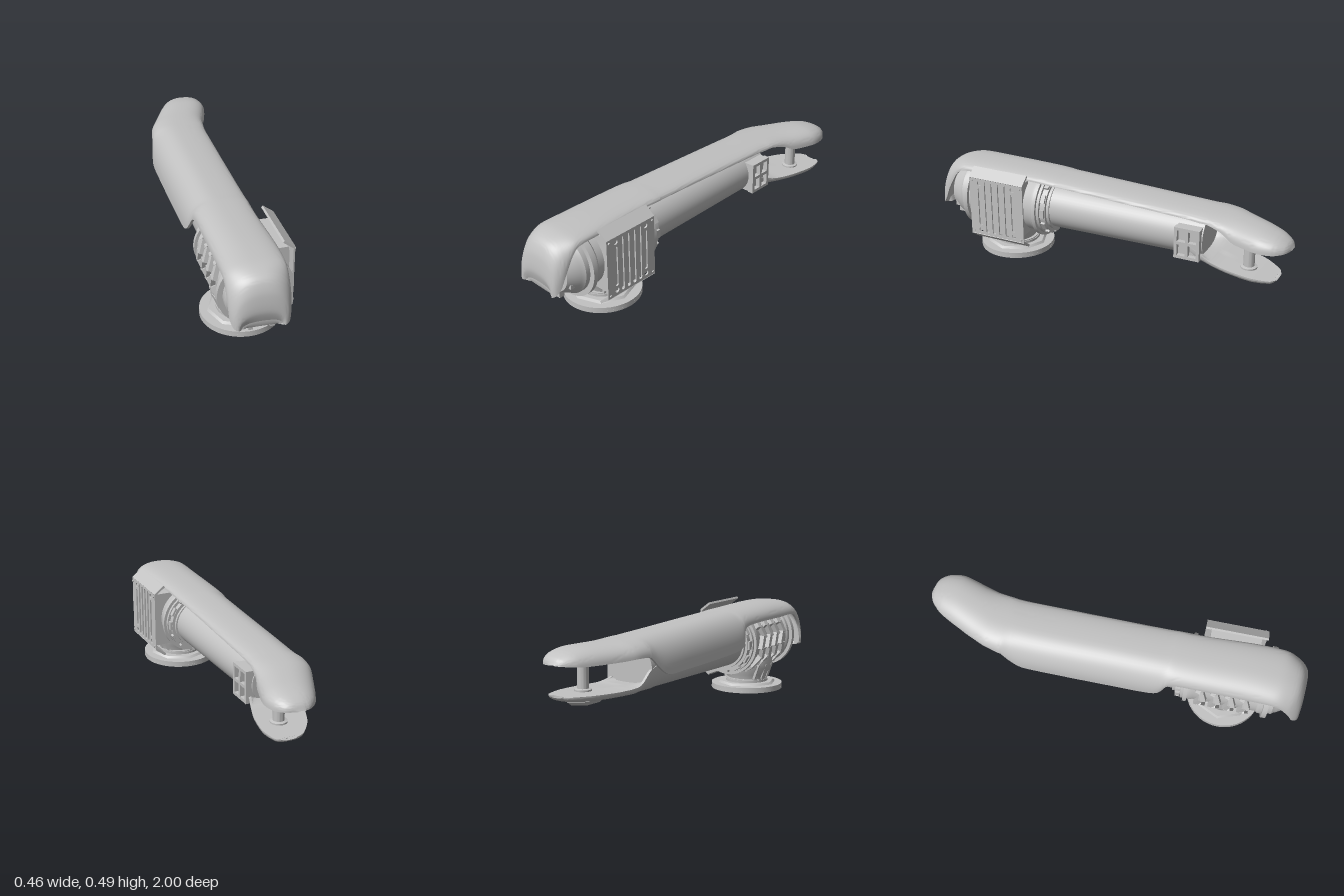
import * as THREE from 'three';
import { toCreasedNormals } from 'three/addons/utils/BufferGeometryUtils.js';

const grey = new THREE.MeshStandardMaterial({ color: 0xc2c2c2, side: THREE.DoubleSide });
grey.name = 'machine grey';

function add(parent, name, geo, x = 0, y = 0, z = 0) {
  const m = new THREE.Mesh(geo, grey);
  m.name = name;
  m.position.set(x, y, z);
  parent.add(m);
  return m;
}
const box = (w, h, d) => new THREE.BoxGeometry(w, h, d);
const lathe = (pts, seg = 48) =>
  toCreasedNormals(new THREE.LatheGeometry(pts.map(p => new THREE.Vector2(p[0], p[1])), seg), 0.6);

// Arched shell lofted through stations [z, xLow, xHigh, crownY, edgeY at xLow, edgeY at xHigh]
function shell(stations, crownThickness, steps) {
  const V = (a, b, c) => new THREE.Vector3(a, b, c);
  const A = new THREE.CatmullRomCurve3(stations.map(s => V(s[0], s[1], s[2])), false, 'catmullrom', 0.4);
  const B = new THREE.CatmullRomCurve3(stations.map(s => V(s[3], s[4], s[5])), false, 'catmullrom', 0.4);
  const zs = stations.map(s => s[0]);
  const lo = Math.min(...zs), hi = Math.max(...zs);
  const N = 28, ring = 2 * (N + 1), rim = 0.014, pos = [], idx = [];
  for (let i = 0; i <= steps; i++) {
    const a = A.getPoint(i / steps), b = B.getPoint(i / steps);
    const cx = (a.y + a.z) / 2, hw = Math.max((a.z - a.y) / 2, 0.002);
    for (let k = 0; k < ring; k++) {
      const inner = k > N, j = inner ? ring - 1 - k : k;
      const u = Math.PI * (1 - j / N), c = Math.cos(u), s = Math.max(Math.sin(u), 0);
      const edge = c < 0 ? b.y : b.z, power = c < 0 ? 0.88 : 0.78;
      let h = b.x - edge;
      if (inner) h = Math.sign(h) * Math.max(Math.abs(h) - crownThickness, 0);
      const w = inner ? Math.max(hw - rim, 0.001) : hw;
      pos.push(cx + w * Math.sign(c) * Math.abs(c) ** power, edge + h * s ** power,
        inner ? THREE.MathUtils.clamp(a.x, lo + rim, hi - rim) : THREE.MathUtils.clamp(a.x, lo, hi));
    }
  }
  for (let i = 0; i < steps; i++) for (let k = 0; k < ring; k++) {
    const p = i * ring + k, q = i * ring + (k + 1) % ring;
    idx.push(p, q, p + ring, q, q + ring, p + ring);
  }
  const g = new THREE.BufferGeometry();
  g.setAttribute('position', new THREE.Float32BufferAttribute(pos, 3));
  g.setIndex(idx);
  return toCreasedNormals(g, 0.7);
}

function buildBase(root) {
  const base = new THREE.Group();
  base.name = 'base';
  base.position.z = 0.6;
  root.add(base);
  // Foot ring with a rounded square recess underneath
  const ring = new THREE.Shape().absarc(0, 0, 0.2, 0, Math.PI * 2);
  const hole = new THREE.Path(), r = 0.147;
  hole.moveTo(r, 0);
  for (let i = 1; i <= 48; i++) {
    const a = i / 48 * Math.PI * 2, c = Math.cos(a), s = Math.sin(a);
    hole.lineTo(r * Math.sign(c) * Math.abs(c) ** 0.6, r * Math.sign(s) * Math.abs(s) ** 0.6);
  }
  ring.holes.push(hole);
  const foot = new THREE.ExtrudeGeometry(ring, { depth: 0.012, bevelEnabled: false, curveSegments: 40 });
  add(base, 'footRing', foot.rotateX(-Math.PI / 2));
  add(base, 'footDisc', lathe([[0, 0.012], [0.2, 0.012], [0.2, 0.03], [0, 0.03]]));
  add(base, 'octagonPlate', new THREE.CylinderGeometry(0.155, 0.165, 0.012, 8), 0, 0.036);
  add(base, 'turntable', lathe([[0.12, 0.04], [0.12, 0.055], [0.115, 0.055], [0.115, 0.06], [0, 0.06]]));
  // Neck flaring up into the joint housing
  const neck = lathe([[0.115, 0.058], [0.124, 0.085], [0.145, 0.125], [0.15, 0.16], [0.15, 0.24]], 24);
  add(base, 'neck', neck).scale.z = 0.85;
  for (const sx of [-1, 1]) for (const z of [-0.07, -0.025, 0.025, 0.07]) {
    const rib = add(base, 'neckRib', box(0.014, 0.09, 0.012), sx * (0.135 - Math.abs(z) * 0.4), 0.105, z);
    rib.rotation.z = -sx * 0.35;
  }
}

function buildJoint(arm) {
  const joint = new THREE.Group();
  joint.name = 'joint';
  joint.position.y = 0.285;
  arm.add(joint);
  // Stepped drum with flange rings at both ends
  add(joint, 'drum', lathe([
    [0, 0.33], [0.135, 0.33], [0.135, 0.345], [0.15, 0.345], [0.15, 0.375], [0.165, 0.375], [0.165, 0.39],
    [0.18, 0.39], [0.18, 0.41], [0.165, 0.41], [0.165, 0.43], [0.16, 0.44], [0.16, 0.77], [0.168, 0.78],
    [0.168, 0.8], [0.187, 0.8], [0.187, 0.825], [0.16, 0.825], [0.16, 0.85], [0.152, 0.86],
    [0.148, 0.87], [0.115, 0.93], [0.1, 0.93], [0.09, 0.91], [0, 0.91]]).rotateX(Math.PI / 2));
  // Lugs around the rear collar
  for (let i = 0; i < 12; i++) {
    const a = i / 12 * Math.PI * 2;
    const lug = add(joint, 'collarLug', box(0.014, 0.045, 0.024), Math.cos(a) * 0.153, Math.sin(a) * 0.153, 0.36);
    lug.rotation.z = a;
  }
  for (const x of [-0.058, 0.047]) add(joint, 'frontFoot', box(0.023, 0.043, 0.03), x, -0.112, 0.92);
  add(joint, 'frontTab', box(0.04, 0.022, 0.03), 0.1, -0.058, 0.9);
  // Stepped ribs wrapping the side away from the vent
  for (let n = 0; n < 4; n++) for (let k = 0; k < 6; k++) {
    const a = Math.PI * (0.78 + k * 0.11);
    const rib = add(joint, 'sideRib', box(0.03, 0.075, 0.026),
      Math.cos(a) * 0.168, Math.sin(a) * 0.168, 0.48 + n * 0.075 + (k % 2 ? 0.008 : -0.008));
    rib.rotation.set(k % 2 ? 0.3 : -0.3, 0, a, 'ZXY');
  }
}

function buildVent(arm) {
  const vent = new THREE.Group();
  vent.name = 'vent';
  vent.position.set(-0.002, 0.283, 0.602);
  arm.add(vent);
  add(vent, 'ventBox', box(0.1, 0.3, 0.26), 0.143, 0, 0);
  // Slotted plate with corner holes
  const s = new THREE.Shape();
  s.moveTo(-0.16, -0.163).lineTo(0.16, -0.163).lineTo(0.16, 0.163).lineTo(-0.16, 0.163).closePath();
  for (let i = 0; i < 6; i++) {
    const x = -0.1 + i * 0.04, h = i === 0 || i === 5 ? 0.1 : 0.14, p = new THREE.Path();
    p.absarc(x, h, 0.01, 0, Math.PI).absarc(x, -h, 0.01, Math.PI, Math.PI * 2).closePath();
    s.holes.push(p);
  }
  for (const x of [-0.1, 0.1]) for (const y of [-0.135, 0.135])
    s.holes.push(new THREE.Path().absarc(x, y, 0.013, 0, Math.PI * 2));
  const plate = new THREE.ExtrudeGeometry(s, { depth: 0.008, bevelEnabled: false, curveSegments: 8 });
  add(vent, 'ventPlate', plate.rotateY(Math.PI / 2), 0.204, 0, 0);
  for (const sy of [-1, 1]) {
    const lip = add(vent, 'ventLip', box(0.07, 0.012, 0.32), 0.182, sy * 0.181, 0);
    lip.rotation.z = -sy * 0.65;
    for (const z of [-0.145, 0.145])
      add(vent, 'screw', new THREE.CylinderGeometry(0.006, 0.006, 0.01, 10).rotateZ(Math.PI / 2), 0.214, sy * 0.147, z);
  }
}

export function createModel() {
  const root = new THREE.Group();
  root.name = 'robotArm';
  buildBase(root);

  // Slightly yawed assembly carrying joint, vent and boom
  const arm = new THREE.Group();
  arm.name = 'arm';
  arm.position.x = -0.03;
  arm.rotation.y = 0.055;
  root.add(arm);
  buildJoint(arm);
  buildVent(arm);
  add(arm, 'boomTube', lathe([[0, -0.53], [0.118, -0.53], [0.118, -0.4], [0.126, 0.35]]).rotateX(Math.PI / 2), 0, 0.29, 0);

  // Grid block on the side of the boom
  const grid = new THREE.Group();
  grid.name = 'gridBlock';
  grid.position.set(0.08, 0.283, -0.465);
  grid.rotation.y = 0.06;
  root.add(grid);
  add(grid, 'gridBack', box(0.05, 0.165, 0.13), -0.035, 0, 0);
  for (const k of [-1, 0, 1]) {
    add(grid, 'gridBarUpright', box(0.03, 0.17, 0.016), 0, 0, k * 0.06);
    add(grid, 'gridBarLevel', box(0.03, 0.016, 0.136), 0, k * 0.077, 0);
  }

  // Long top cover with front cap, deep skirt on one side and rounded tip
  add(root, 'topCover', shell([
    [0.975, -0.08, 0.09, 0.20, 0.20, 0.20],
    [1.0, -0.108, 0.11, 0.29, 0.203, 0.203],
    [0.99, -0.13, 0.132, 0.38, 0.215, 0.215],
    [0.965, -0.144, 0.145, 0.435, 0.25, 0.25],
    [0.93, -0.148, 0.15, 0.46, 0.33, 0.33],
    [0.86, -0.148, 0.147, 0.477, 0.40, 0.43],
    [0.7, -0.152, 0.14, 0.482, 0.40, 0.44],
    [0.45, -0.163, 0.115, 0.478, 0.40, 0.443],
    [0.32, -0.172, 0.11, 0.475, 0.385, 0.44],
    [0.25, -0.198, 0.105, 0.472, 0.29, 0.438],
    [0, -0.21, 0.095, 0.465, 0.27, 0.43],
    [-0.3, -0.224, 0.085, 0.455, 0.265, 0.42],
    [-0.45, -0.228, 0.08, 0.451, 0.265, 0.415],
    [-0.52, -0.22, 0.08, 0.449, 0.31, 0.41],
    [-0.57, -0.21, 0.083, 0.447, 0.36, 0.41],
    [-0.65, -0.197, 0.095, 0.444, 0.365, 0.39],
    [-0.72, -0.17, 0.118, 0.441, 0.36, 0.36],
    [-0.85, -0.115, 0.15, 0.435, 0.355, 0.355],
    [-0.93, -0.075, 0.138, 0.42, 0.355, 0.355],
    [-0.98, -0.03, 0.1, 0.395, 0.36, 0.36],
    [-1.0, 0.01, 0.045, 0.365, 0.362, 0.362]], 0.014, 120));

  // Lower jaw growing out of the tube, with pad and pin
  add(root, 'lowerJaw', shell([
    [-0.945, 0.02, 0.095, 0.2, 0.207, 0.207],
    [-0.92, -0.025, 0.125, 0.182, 0.208, 0.208],
    [-0.83, -0.09, 0.142, 0.17, 0.21, 0.21],
    [-0.7, -0.14, 0.125, 0.17, 0.212, 0.212],
    [-0.6, -0.168, 0.095, 0.172, 0.225, 0.215],
    [-0.53, -0.178, 0.075, 0.172, 0.29, 0.235],
    [-0.44, -0.18, 0.07, 0.172, 0.32, 0.28]], 0.045, 60));
  add(root, 'jawPad', new THREE.CylinderGeometry(0.085, 0.065, 0.02, 6).scale(1, 1, 1.4), 0.02, 0.168, -0.79);
  add(root, 'pin', lathe([[0, 0.185], [0.042, 0.185], [0.042, 0.218], [0.028, 0.222], [0.028, 0.345],
    [0.036, 0.35], [0.036, 0.42], [0, 0.42]], 32), 0.035, 0, -0.78);
  return root;
}
